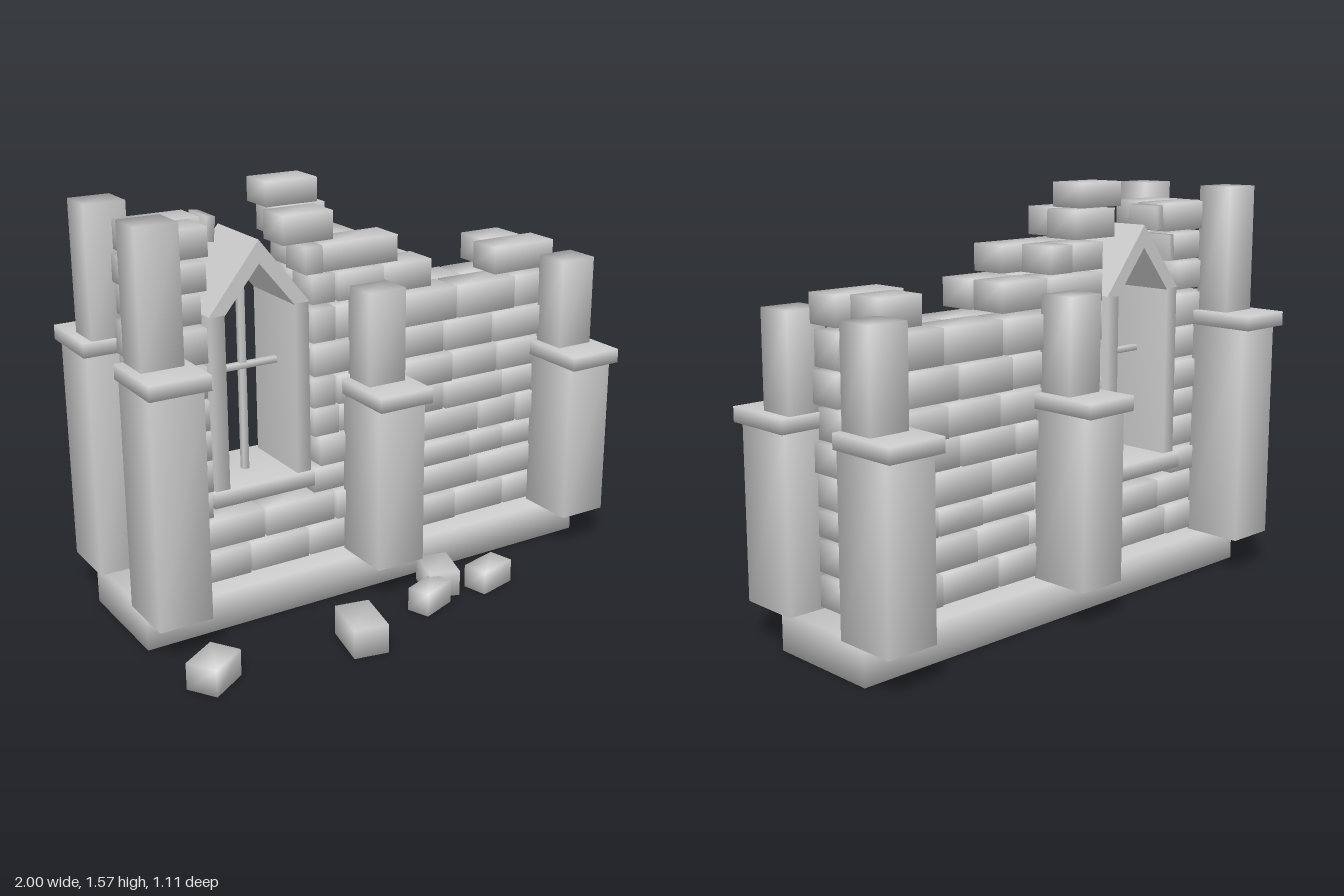
import * as THREE from 'three';
import { mergeVertices } from 'three/addons/utils/BufferGeometryUtils.js';

const material = new THREE.MeshStandardMaterial({ color: 0xcccccc });

// Block with shared corners, so its shading runs softly round the edges
function softBox(w, h, d) {
  let g = new THREE.BoxGeometry(w, h, d);
  g.deleteAttribute('normal');
  g.deleteAttribute('uv');
  g = mergeVertices(g);
  g.computeVertexNormals();
  return g;
}

function block(parent, name, x0, x1, y0, y1, z0, z1) {
  const m = new THREE.Mesh(softBox(x1 - x0, y1 - y0, z1 - z0), material);
  m.position.set((x0 + x1) / 2, (y0 + y1) / 2, (z0 + z1) / 2);
  m.name = name;
  parent.add(m);
  return m;
}

// Bottom and top of each brick course
const courses = [
  [0.155, 0.265], [0.28, 0.39], [0.405, 0.495], [0.51, 0.625], [0.63, 0.735], [0.74, 0.85],
  [0.865, 0.98], [0.99, 1.115], [1.135, 1.24], [1.25, 1.35], [1.365, 1.47], [1.475, 1.565],
];

// For each course: runs of bricks, given as start, joints and end in x
const frontRuns = [
  [[-0.88, -0.76, -0.51, -0.26, -0.06, 0.125, 0.415, 0.66, 0.86]],
  [[-0.87, -0.71, -0.445, -0.145, 0.02, 0.235, 0.53, 0.86]],
  [[-0.88, -0.65], [-0.24, -0.02, 0.255, 0.48, 0.65, 0.86]],
  [[-0.87, -0.65], [-0.215, -0.05, 0.22, 0.525, 0.71, 0.86]],
  [[-0.88, -0.65], [-0.24, -0.125, 0.06, 0.35, 0.635, 0.87]],
  [[-0.87, -0.65], [-0.24, -0.135, 0.16, 0.39, 0.61, 0.85]],
  [[-0.88, -0.66], [-0.24, -0.08, 0.105, 0.35, 0.58, 0.87]],
  [[-0.87, -0.65], [-0.24, -0.135, 0.11, 0.405, 0.685, 0.86]],
  [[-0.88, -0.67], [-0.24, -0.135, 0.07, 0.285], [0.58, 0.875]],
  [[-0.87, -0.65], [-0.27, -0.19, 0.135]],
  [[-0.88, -0.635], [-0.355, -0.14]],
  [],
];
const backRuns = [
  [[-0.87, -0.64, -0.38, -0.14, 0.06, 0.28, 0.55, 0.84]],
  [[-0.88, -0.58, -0.32, -0.06, 0.13, 0.39, 0.68, 0.87]],
  [[-0.87, -0.65], [-0.24, -0.1, 0.1, 0.36, 0.57, 0.85]],
  [[-0.88, -0.65], [-0.24, 0.04, 0.32, 0.61, 0.87]],
  [[-0.87, -0.65], [-0.24, -0.04, 0.2, 0.46, 0.72, 0.85]],
  [[-0.88, -0.65], [-0.24, 0.02, 0.27, 0.52, 0.86]],
  [[-0.87, -0.65], [-0.24, -0.02, 0.22, 0.47, 0.7, 0.85]],
  [[-0.88, -0.66], [-0.24, 0.02, 0.26, 0.53, 0.81]],
  [[-0.87, -0.67], [-0.24, 0.04, 0.27], [0.63, 0.82]],
  [[-0.88, -0.65], [-0.25, -0.08, 0.04]],
  [[-0.87, -0.59], [-0.3, -0.085]],
  [[-0.34, -0.12]],
];

function brickLayer(name, runs, z0, z1) {
  const layer = new THREE.Group();
  layer.name = name;
  runs.forEach((course, i) => {
    const [y0, y1] = courses[i];
    course.forEach((run) => {
      for (let k = 0; k + 1 < run.length; k++) {
        const wobble = 0.006 * Math.sin(i * 2.3 + k * 1.7);
        block(layer, 'brick', run[k] + 0.005, run[k + 1] - 0.005, y0, y1, z0 + wobble, z1 + wobble);
      }
    });
  });
  return layer;
}

// Pillar: lower shaft, cap slab and narrow upper shaft; side 1 is front, -1 is back
function pillar(x, capY, top, side) {
  const g = new THREE.Group();
  g.name = side > 0 ? 'frontPillar' : 'backPillar';
  const inner = side > 0 ? 0 : -0.28;
  const part = (name, w, y0, y1, d, overlap = 0) => {
    const a = inner - side * overlap, b = inner + side * d;
    block(g, name, x - w / 2, x + w / 2, y0, y1, Math.min(a, b), Math.max(a, b));
  };
  part('lowerShaft', 0.2, 0.145, capY, 0.24);
  part('cap', 0.224, capY, capY + 0.055, 0.275, 0.005);
  part('upperShaft', 0.156, capY + 0.055, top, 0.143);
  return g;
}

function windowFrame() {
  const g = new THREE.Group();
  g.name = 'window';
  const cx = -0.445;
  block(g, 'sill', cx - 0.207, cx + 0.207, 0.44, 0.5, -0.335, 0.01);
  for (const s of [-1, 1]) {
    const x = cx + s * 0.168;
    block(g, 'jamb', x - 0.028, x + 0.028, 0.5, 1.15, -0.31, 0);
    // Sloping gable beam, mitred at the apex and at the jamb
    const beam = new THREE.Shape([[0, 1.4], [0, 1.315], [0.14, 1.145], [0.2, 1.15]]
      .map(([px, py]) => new THREE.Vector2(s * px, py)));
    const m = new THREE.Mesh(
      new THREE.ExtrudeGeometry(beam, { depth: 0.31, bevelEnabled: false }), material);
    m.position.set(cx, 0, -0.31);
    m.name = 'gableBeam';
    g.add(m);
  }
  block(g, 'mullion', cx - 0.012, cx + 0.012, 0.5, 1.24, -0.165, -0.14);
  block(g, 'crossbar', cx - 0.14, cx + 0.14, 0.893, 0.915, -0.165, -0.14);
  return g;
}

export function createModel() {
  const model = new THREE.Group();
  model.name = 'ruinedWall';

  block(model, 'base', -0.97, 0.96, 0, 0.145, -0.365, 0.083);
  model.add(brickLayer('frontBricks', frontRuns, -0.136, 0.006));
  model.add(brickLayer('backBricks', backRuns, -0.288, -0.144));
  model.add(windowFrame());

  // Three pairs of pillars: x, cap height, top
  for (const [x, capY, top] of [[-0.888, 0.99, 1.53], [-0.004, 0.78, 1.187], [0.886, 0.78, 1.185]])
    for (const side of [1, -1]) model.add(pillar(x, capY, top, side));

  // Broken brick pieces left in the wall
  block(model, 'shard', -0.57, -0.535, 1.375, 1.465, -0.295, -0.155).rotation.z = -0.1;
  block(model, 'shard', -0.65, -0.625, 1.25, 1.35, -0.285, -0.15).rotation.z = -0.1;
  block(model, 'shard', 0.83, 0.865, 1.015, 1.115, -0.27, -0.145).rotation.z = 0.1;

  // Fallen bricks: x, z, width, height, depth, turn
  const fallen = [
    [-0.87, 0.4, 0.16, 0.1, 0.12, 0.57], [-0.305, 0.44, 0.13, 0.11, 0.2, -0.2],
    [0.06, 0.34, 0.15, 0.09, 0.09, 0.36], [0.175, 0.23, 0.12, 0.1, 0.17, -0.3],
    [0.355, 0.31, 0.16, 0.09, 0.1, 0.25],
  ];
  for (const [x, z, w, h, d, turn] of fallen)
    block(model, 'fallenBrick', x - w / 2, x + w / 2, 0, h, z - d / 2, z + d / 2).rotation.y = turn;

  return model;
}
